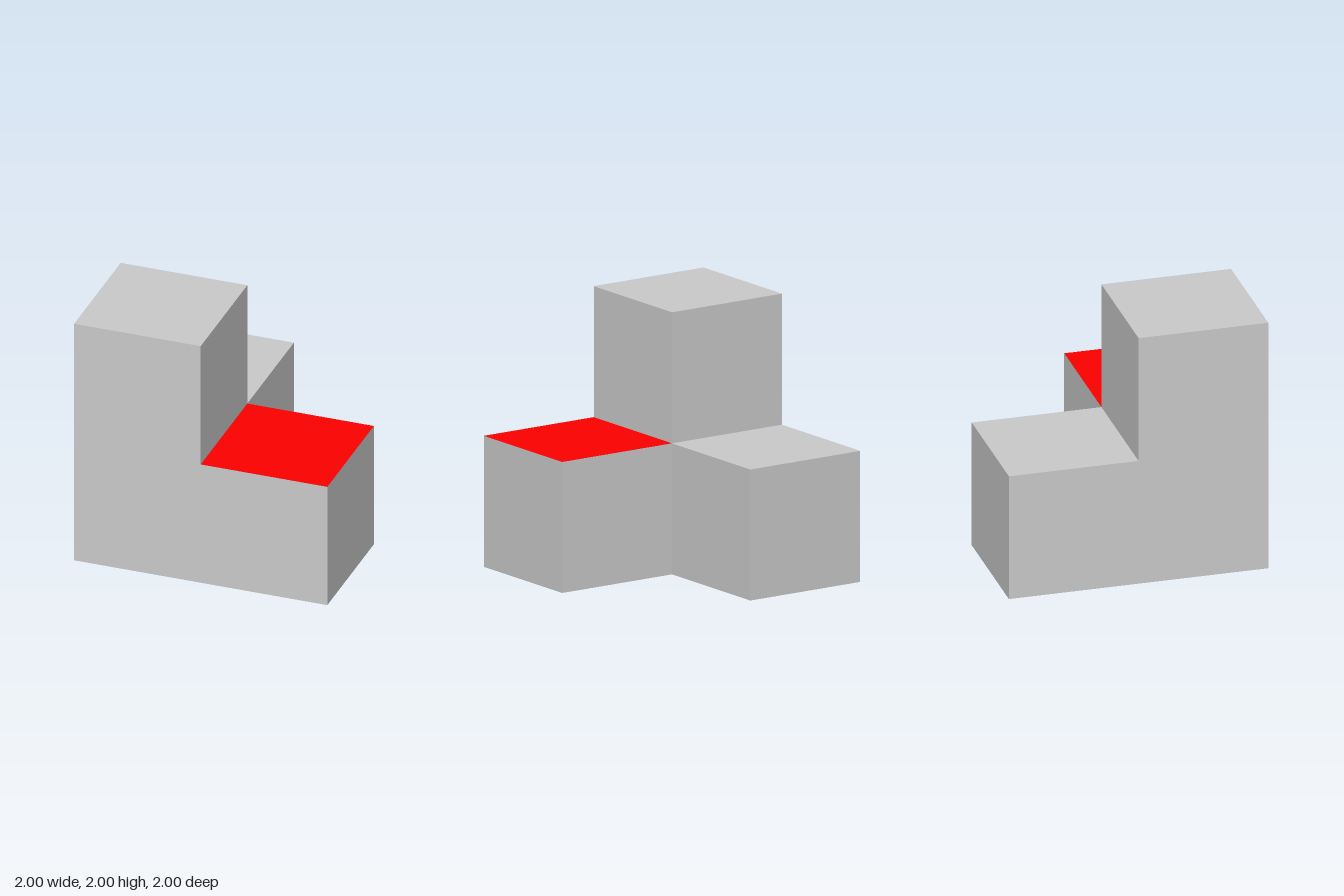
import * as THREE from 'three';
import { mergeGeometries } from 'three/addons/utils/BufferGeometryUtils.js';

// Unit cubes of the stepped corner, by centre
const cubes = [
  { name: 'columnBase', at: [-0.5, 0.5, 0.5] },
  { name: 'columnTop', at: [-0.5, 1.5, 0.5] },
  { name: 'sideStep', at: [0.5, 0.5, 0.5], redTop: true },
  { name: 'backStep', at: [-0.5, 0.5, -0.5] },
];

const directions = [
  [1, 0, 0], [-1, 0, 0], [0, 1, 0], [0, -1, 0], [0, 0, 1], [0, 0, -1],
].map((d) => new THREE.Vector3(...d));

// Unit square half a unit out from the centre, facing along the direction
function face(centre, dir) {
  const turn = new THREE.Quaternion().setFromUnitVectors(new THREE.Vector3(0, 0, 1), dir);
  const p = centre.clone().addScaledVector(dir, 0.5);
  return new THREE.PlaneGeometry(1, 1).applyQuaternion(turn).translate(p.x, p.y, p.z);
}

export function createModel() {
  const group = new THREE.Group();
  group.name = 'steppedCorner';
  const grey = new THREE.MeshStandardMaterial({ color: 0xcccccc });
  const red = new THREE.MeshStandardMaterial({ color: 0xff0000 });

  const add = (name, geometry, material) => {
    const mesh = new THREE.Mesh(geometry, material);
    mesh.name = name;
    group.add(mesh);
  };
  const centres = cubes.map((c) => new THREE.Vector3(...c.at));

  cubes.forEach(({ name, redTop }, i) => {
    const sides = [];
    for (const dir of directions) {
      // Faces shared by two cubes are left out
      const next = centres[i].clone().add(dir);
      if (centres.some((c) => c.distanceTo(next) < 0.01)) continue;
      if (redTop && dir.y > 0) add('redTop', face(centres[i], dir), red);
      else sides.push(face(centres[i], dir));
    }
    add(name, mergeGeometries(sides), grey);
  });
  return group;
}
